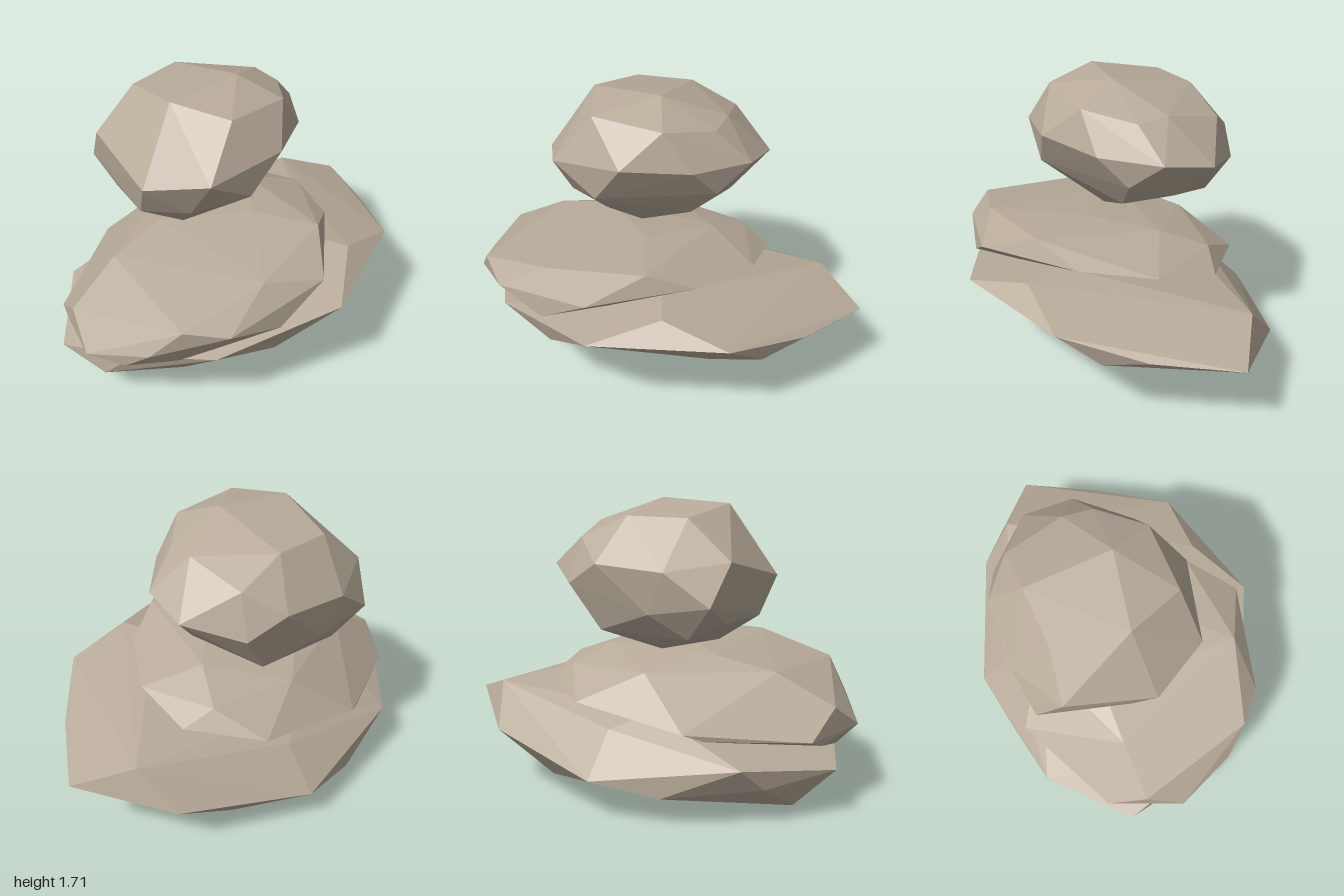
import * as THREE from 'three';
import { ConvexGeometry } from 'three/addons/geometries/ConvexGeometry.js';

// Corner points of each boulder; the hull gives its chiselled facets.
const bottomCorners = [
  // rim
  [-1, 0.28, 0.51], [-0.96, 0.35, -0.07], [-0.7, 0.17, -0.41], [-0.46, 0.24, -0.72],
  [0.29, 0.36, -0.99], [0.88, 0.49, -0.91], [0.98, 0.53, -0.42], [1, 0.63, 0.08],
  [0.58, 0.62, 0.73], [0.2, 0.41, 0.79], [-0.14, 0.5, 0.94], [-0.31, 0.3, 0.78],
  [-0.76, 0.21, 0.69],
  // upper side
  [0.7, 0.73, 0.33], [0.5, 0.74, 0.22], [0.51, 0.6, -0.89], [-0.33, 0.47, -0.54],
  [-0.4, 0.55, -0.3], [-0.58, 0.43, 0.8], [0.31, 0.56, 0.8],
  // underside
  [0.96, 0.46, -0.16], [-0.9, 0.08, 0.3], [-0.4, 0.1, 0.43], [-0.33, 0.01, -0.18],
  [0.1, 0.13, 0.34], [0.41, 0.17, -0.1], [0.69, 0.32, 0], [0.5, 0.23, -0.48],
  [0, 0.14, -0.75], [-0.28, 0.21, 0.65], [-0.95, 0.22, 0.08],
];
const middleCorners = [
  // rim
  [-0.2, 0.61, -0.68], [0.27, 0.67, -0.65], [0.52, 0.75, -0.37], [0.61, 0.79, 0.06],
  [0.48, 0.79, 0.68], [0.22, 0.61, 0.84], [-0.07, 0.69, 0.98], [-0.32, 0.74, 0.97],
  [-0.5, 0.57, 0.95], [-0.63, 0.45, 0.88], [-0.84, 0.46, 0.78], [-0.99, 0.45, 0.35],
  [-0.77, 0.47, -0.18], [-0.73, 0.51, -0.29],
  // upper side
  [0.51, 0.9, 0.33], [0.13, 0.86, 0.76], [-0.91, 0.6, 0.56], [-0.67, 0.77, 0.33],
  [-0.65, 0.67, 0.7], [-0.4, 0.84, 0.1], [0.16, 0.9, 0.15], [0.17, 0.86, -0.3],
  [-0.35, 0.77, -0.33], [0.1, 0.76, -0.58],
  // underside
  [-0.82, 0.36, 0.64], [-0.33, 0.46, 0.88], [-0.95, 0.41, 0.45], [0.4, 0.69, 0.5],
  [-0.3, 0.45, 0.3], [0.2, 0.62, -0.3],
];
const topCorners = [
  // crown
  [0.07, 1.72, 0], [-0.31, 1.69, 0.23], [0, 1.65, 0.39], [0.31, 1.62, 0.12],
  [0.33, 1.57, -0.2], [0.22, 1.59, -0.34], [-0.25, 1.63, -0.38], [-0.5, 1.62, -0.14],
  // girth
  [-0.13, 1.37, 0.58], [0.27, 1.43, 0.36], [0.43, 1.4, 0], [0.44, 1.39, -0.37],
  [0.27, 1.34, -0.61], [-0.05, 1.51, -0.57], [-0.08, 1.26, -0.66], [-0.29, 1.38, -0.59],
  [-0.6, 1.35, -0.34], [-0.76, 1.17, -0.15], [-0.72, 1.4, 0], [-0.48, 1.29, 0.45],
  [0.41, 1.23, -0.17], [0.1, 1.2, 0.43],
  // underside
  [-0.23, 1.11, 0.43], [-0.5, 1.07, 0.32], [-0.58, 0.98, -0.18], [-0.63, 1.06, 0.03],
  [-0.26, 0.9, 0.2], [-0.27, 0.88, -0.18], [-0.02, 0.91, 0.08], [0.25, 1.05, -0.1],
  [0.22, 1.12, -0.38], [-0.17, 1, -0.51], [-0.5, 1.12, -0.38],
];

export function createModel() {
  const stone = new THREE.MeshStandardMaterial({ color: 0xb8ab9a, flatShading: true });
  stone.name = 'warm grey stone';

  const group = new THREE.Group();
  group.name = 'stackedRocks';
  const boulder = (name, corners) => {
    const points = corners.map(c => new THREE.Vector3(...c));
    const mesh = new THREE.Mesh(new ConvexGeometry(points), stone);
    mesh.name = name;
    group.add(mesh);
  };

  boulder('bottomRock', bottomCorners);
  boulder('middleRock', middleCorners);
  boulder('topRock', topCorners);
  return group;
}
